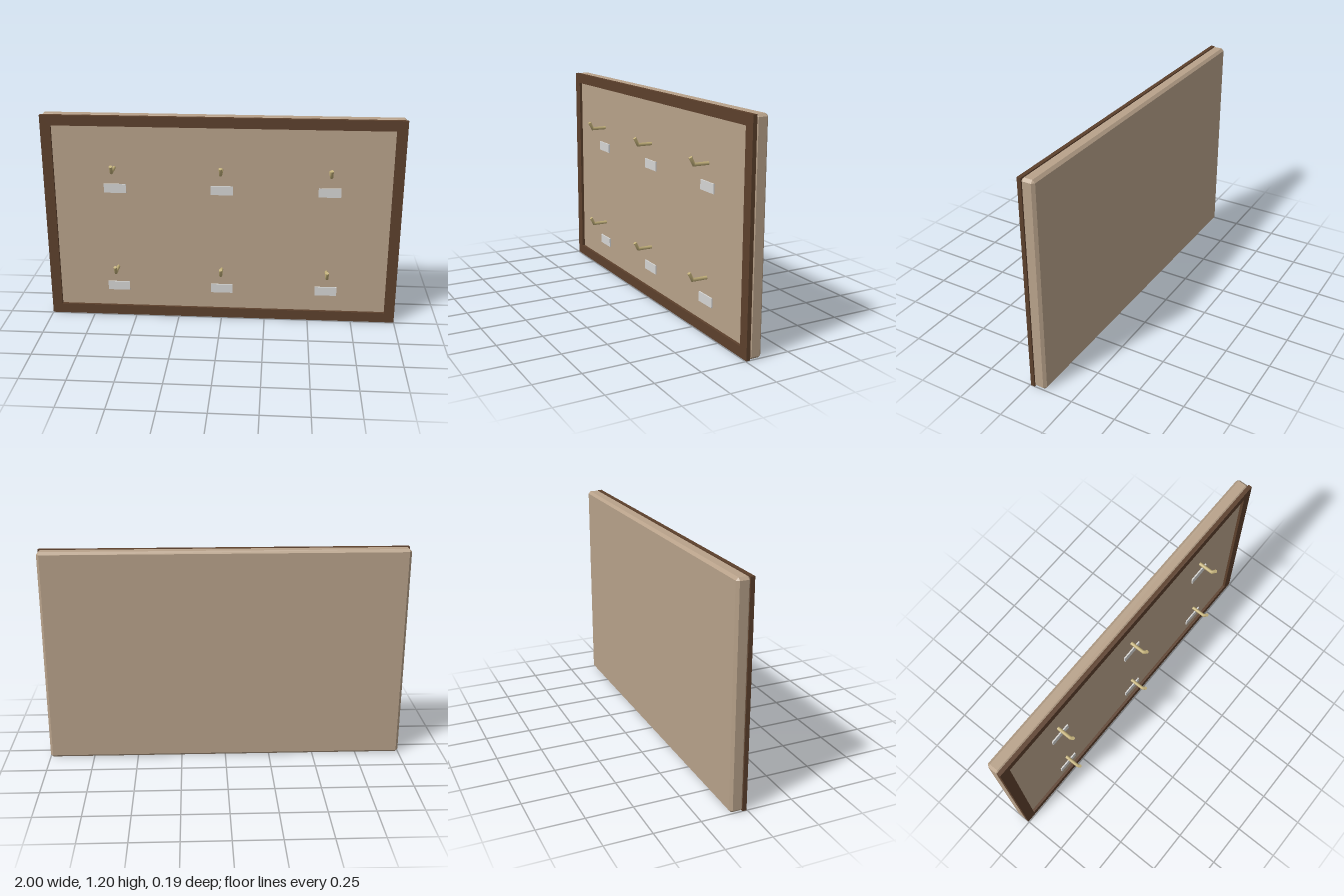
import * as THREE from 'three';
import { ConvexGeometry } from 'three/addons/geometries/ConvexGeometry.js';

const material = (name, color) => {
  const m = new THREE.MeshStandardMaterial({ color });
  m.name = name;
  return m;
};

// Box with every edge chamfered, centred on the origin
function chamferedBox(w, h, d, b) {
  const points = [];
  for (const x of [-w / 2, w / 2]) for (const y of [-h / 2, h / 2]) for (const z of [-d / 2, d / 2]) {
    const sx = Math.sign(x) * b, sy = Math.sign(y) * b, sz = Math.sign(z) * b;
    points.push(
      new THREE.Vector3(x, y - sy, z - sz),
      new THREE.Vector3(x - sx, y, z - sz),
      new THREE.Vector3(x - sx, y - sy, z));
  }
  return new ConvexGeometry(points);
}

// Round peg running forward, with a mitred bend and an upturned tip
function hookGeometry(r) {
  const rise = Math.atan2(0.039, 0.021);
  const rings = [
    { z: -0.03, y: 0, tilt: 0, stretch: 1 },
    { z: 0.064, y: 0, tilt: rise / 2, stretch: 1 / Math.cos(rise / 2) },
    { z: 0.085, y: 0.039, tilt: rise, stretch: 1 },
  ];
  const geo = new THREE.CylinderGeometry(r, r, 2, 12, 2);
  const p = geo.attributes.position;
  for (let i = 0; i < p.count; i++) {
    const ring = rings[Math.round(p.getY(i) + 1)];
    const up = -p.getZ(i) * ring.stretch;
    p.setXYZ(i, p.getX(i), ring.y + up * Math.cos(ring.tilt), ring.z - up * Math.sin(ring.tilt));
  }
  geo.computeVertexNormals();
  return geo;
}

export function createModel() {
  const group = new THREE.Group();
  const boardTan = material('board tan', 0xb8a28a);
  const frameBrown = material('frame brown', 0x5c402c);
  const brass = material('brass', 0xc2b07a);
  const labelWhite = material('label white', 0xd6d6d4);

  const add = (name, geo, mat, x, y, z) => {
    const mesh = new THREE.Mesh(geo, mat);
    mesh.name = name;
    mesh.position.set(x, y, z);
    group.add(mesh);
  };

  // Backing board
  add('board', chamferedBox(2, 1.2, 0.075, 0.014), boardTan, 0, 0.6, -0.057);

  // Rectangular frame around the front
  const outline = new THREE.Shape([[-1, 0], [1, 0], [1, 1.2], [-1, 1.2]].map(([x, y]) => new THREE.Vector2(x, y)));
  const e = 0.058;
  outline.holes.push(new THREE.Path(
    [[-1 + e, e], [-1 + e, 1.2 - e], [1 - e, 1.2 - e], [1 - e, e]].map(([x, y]) => new THREE.Vector2(x, y))));
  add('frame', new THREE.ExtrudeGeometry(outline, { depth: 0.022, bevelEnabled: false }), frameBrown, 0, 0, -0.026);

  // Two rows of hooks, each with a label below
  const hook = hookGeometry(0.0095);
  const label = new THREE.BoxGeometry(0.125, 0.052, 0.008);
  for (const y of [0.302, 0.902]) for (const x of [-0.6, 0, 0.6]) {
    add('hook', hook, brass, x, y, 0);
    add('label', label, labelWhite, x, y - 0.12, -0.016);
  }
  return group;
}
